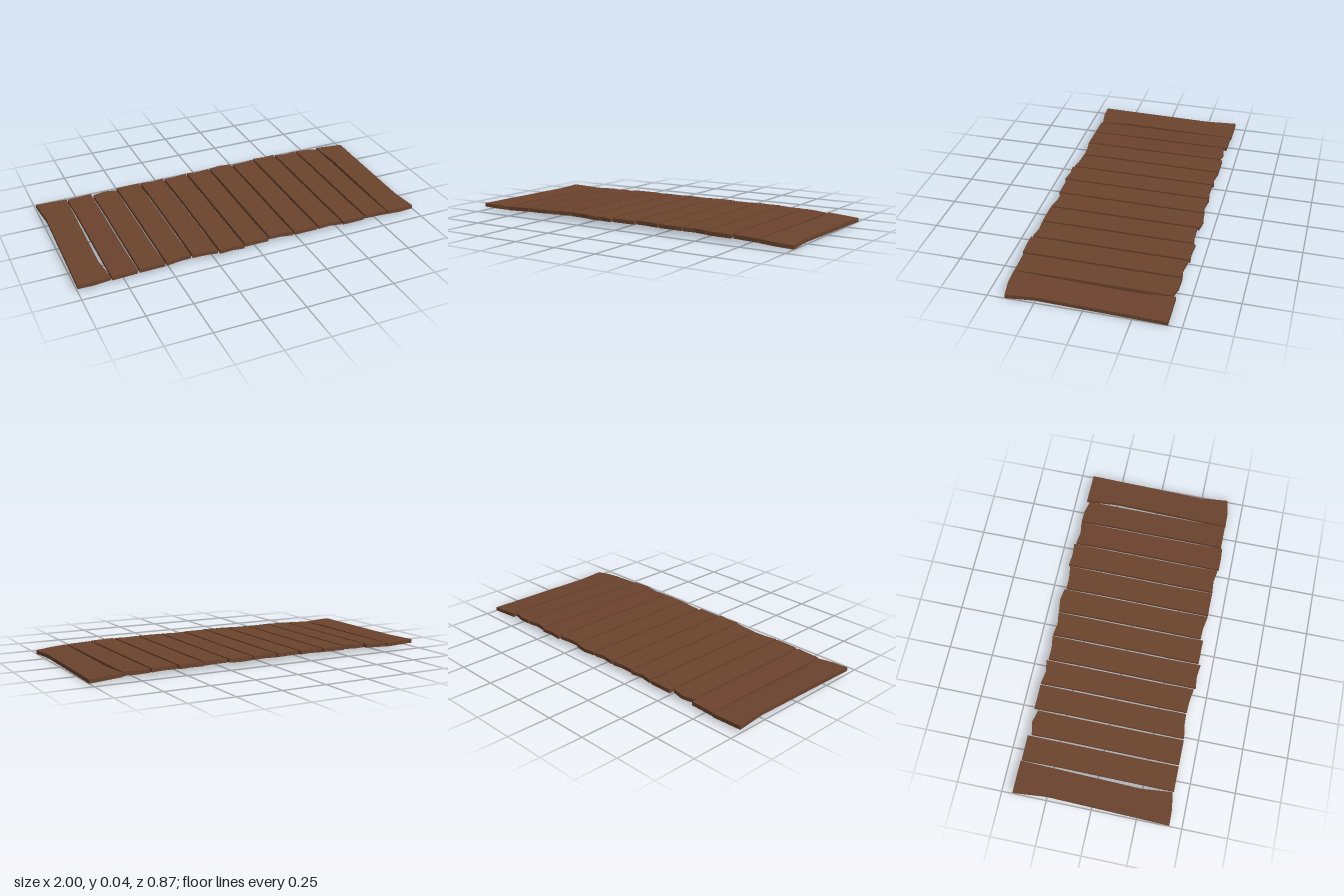
import * as THREE from 'three';

const COUNT = 13;
const THICK = 0.021;
const STEP = 0.149; // spacing of the inner planks
const INNER_HALF = 0.0695; // half width of an inner plank

// Worn ends: z at the left corner, middle and right corner; other ends are straight
const BACK = {
  0: [-0.435, -0.435, -0.435],
  2: [-0.41, -0.424, -0.408],
  4: [-0.43, -0.418, -0.43],
  5: [-0.42, -0.42, -0.43],
  6: [-0.43, -0.42, -0.43],
  7: [-0.43, -0.44, -0.43],
  8: [-0.42, -0.421, -0.43],
  9: [-0.44, -0.434, -0.44],
  10: [-0.43, -0.42, -0.43],
  11: [-0.43, -0.428, -0.41],
};
const FRONT = {
  0: [0.43, 0.428, 0.413],
  3: [0.42, 0.408, 0.405],
  4: [0.407, 0.41, 0.42],
  5: [0.43, 0.424, 0.432],
  7: [0.405, 0.407, 0.42],
  9: [0.42, 0.414, 0.425],
  10: [0.432, 0.432, 0.428],
  12: [0.422, 0.42, 0.405],
};

// Underside height of the gently arched walkway
const archHeight = (x) => 0.024 * (1 - Math.abs(x) ** 4.4);

// Extrudes a plank outline upward, then tilts it to follow the arch
function plankGeometry(i) {
  const isFirst = i === 0;
  const isEnd = isFirst || i === COUNT - 1;
  const centre = (i - 6) * STEP;
  let l = centre - INNER_HALF;
  let r = centre + INNER_HALF;
  if (isEnd) [l, r] = isFirst ? [-1, -0.82] : [0.82, 1];

  const back = BACK[i] ?? [-0.43, -0.43, -0.43];
  const front = FRONT[i] ?? [0.42, 0.42, 0.42];
  const bow = isEnd ? 0.017 : 0.003; // the wide end planks are visibly warped
  const m = (l + r) / 2;
  const outline = [
    [l, front[0]], [m, front[1]], [r, front[2]],
    [r - bow, 0.25], [r - bow * 0.3, -0.25],
    [r, back[2]], [m, back[1]], [l, back[0]],
    [l + bow, -0.25], [l + bow * 0.3, 0.25],
  ].map(([x, z]) => new THREE.Vector2(x, -z));

  const geo = new THREE.ExtrudeGeometry(new THREE.Shape(outline), { depth: THICK, bevelEnabled: false });
  geo.rotateX(-Math.PI / 2);
  const yl = isFirst ? 0.02 : archHeight(l); // the first plank kicks up at its outer edge
  const yr = archHeight(r);
  const pos = geo.attributes.position;
  for (let v = 0; v < pos.count; v++) {
    const t = (pos.getX(v) - l) / (r - l);
    pos.setY(v, pos.getY(v) + yl + (yr - yl) * t);
  }
  geo.computeVertexNormals();
  return geo;
}

export function createModel() {
  const group = new THREE.Group();
  group.name = 'plankWalkway';
  const wood = new THREE.MeshStandardMaterial({ color: 0x6b432d });
  wood.name = 'brown wood';
  for (let i = 0; i < COUNT; i++) {
    const plank = new THREE.Mesh(plankGeometry(i), wood);
    plank.name = `plank${i + 1}`;
    group.add(plank);
  }
  return group;
}
